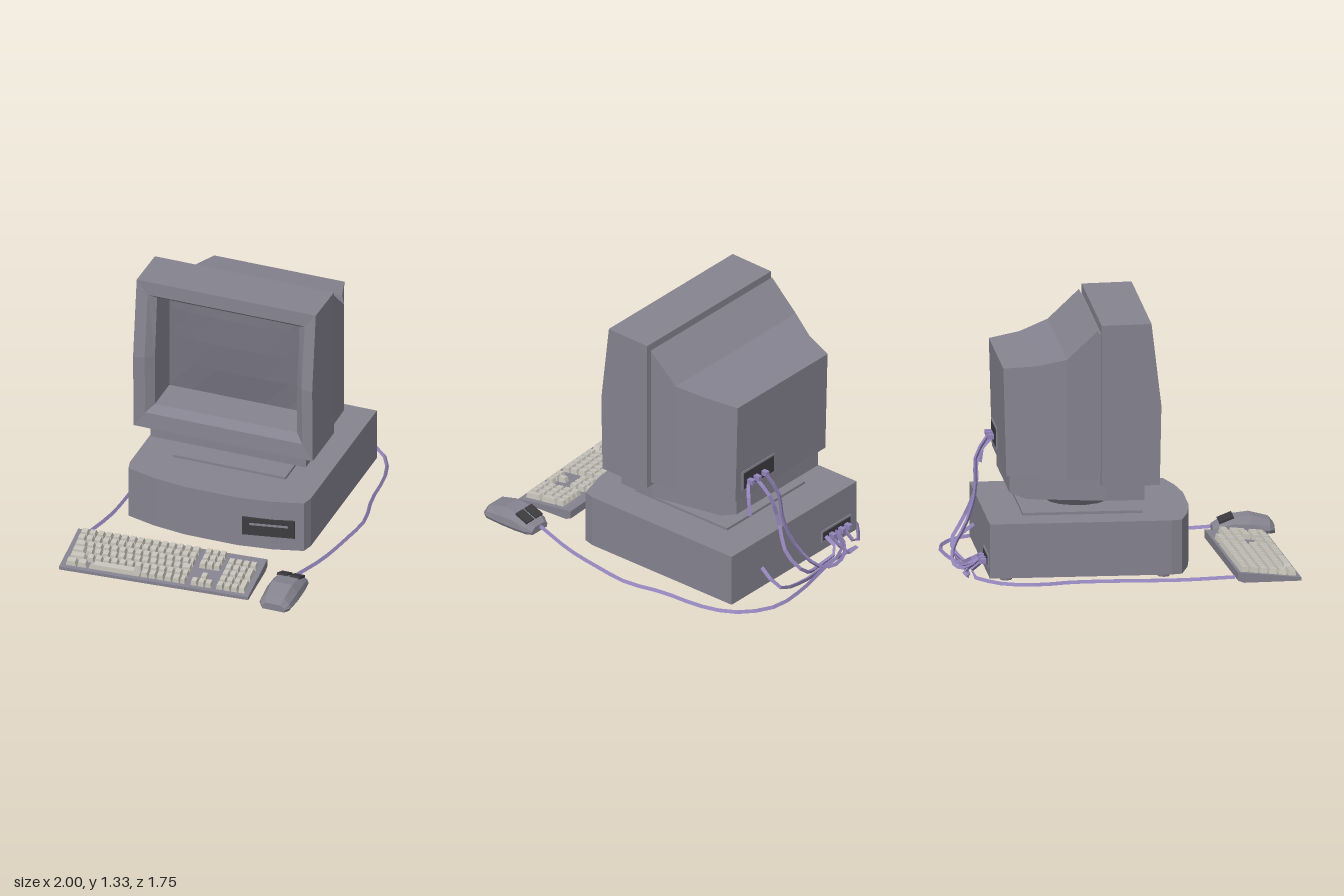
import * as THREE from 'three';

const mat = (color) => new THREE.MeshStandardMaterial({ color, flatShading: true, side: THREE.DoubleSide });
const shell = mat(0x85838f), dark = mat(0x3c3c40), glass = mat(0x75737f), keyMat = mat(0xc4c2b8), cord = mat(0x9385bb);

function add(parent, name, geometry, material, x = 0, y = 0, z = 0) {
  const m = new THREE.Mesh(geometry, material);
  m.name = name;
  m.position.set(x, y, z);
  parent.add(m);
  return m;
}
const box = (w, h, d) => new THREE.BoxGeometry(w, h, d);

// Skin through rings ordered towards +z, each counter-clockwise seen from +z
function loft(rings, capStart = true, capEnd = true) {
  const pos = [], n = rings[0].length;
  const tri = (a, b, c) => pos.push(...a, ...b, ...c);
  for (let i = 0; i < rings.length - 1; i++)
    for (let j = 0; j < n; j++) {
      const k = (j + 1) % n, p = rings[i], q = rings[i + 1];
      tri(p[j], p[k], q[k]);
      tri(p[j], q[k], q[j]);
    }
  const last = rings[rings.length - 1];
  for (let j = 1; j < n - 1; j++) {
    if (capStart) tri(rings[0][0], rings[0][j + 1], rings[0][j]);
    if (capEnd) tri(last[0], last[j], last[j + 1]);
  }
  const g = new THREE.BufferGeometry();
  g.setAttribute('position', new THREE.Float32BufferAttribute(pos, 3));
  g.computeVertexNormals();
  return g;
}
const rect = (w, y0, y1, z) => [[-w, y0, z], [w, y0, z], [w, y1, z], [-w, y1, z]];

// Rear socket panel: frame, dark inset and a row of plugs
function sockets(parent, name, x, y, z, w, h, plugs) {
  const g = new THREE.Group();
  g.name = name;
  g.position.set(x, y, z);
  parent.add(g);
  add(g, 'socketFrame', box(w, h, 0.008), shell);
  add(g, 'socketInset', box(w - 0.02, h - 0.02, 0.012), dark);
  for (const px of plugs) add(g, 'plug', box(0.025, 0.025, 0.04), cord, px, -0.01, -0.02);
}

function buildCase(g) {
  // Case with a bowed front
  const half = [[0.49, -0.49], [0.49, 0.43], [0.475, 0.487], [0.32, 0.53], [0.14, 0.555]];
  const outline = [...half, ...half.map(([x, z]) => [-x, z]).reverse()];
  const shape = new THREE.Shape(outline.map(([x, z]) => new THREE.Vector2(x, -z)));
  const body = new THREE.ExtrudeGeometry(shape, { depth: 0.28, bevelEnabled: false });
  add(g, 'case', body.rotateX(-Math.PI / 2), shell, 0, 0.025, 0);
  for (const x of [-0.4, 0.4]) for (const z of [-0.4, 0.4])
    add(g, 'caseFoot', new THREE.CylinderGeometry(0.035, 0.03, 0.025, 8), shell, x, 0.0125, z);
  // Disk drive on the front
  const drive = add(g, 'diskDrive', box(0.27, 0.1, 0.02), dark, 0.3, 0.15, 0.527);
  drive.rotation.y = 0.2;
  const slot = add(drive, 'diskSlot', box(0.2, 0.012, 0.01), shell, 0, 0.015, 0.008);
  slot.scale.z = 0.8;
  sockets(g, 'caseSockets', -0.325, 0.105, -0.492, 0.23, 0.065, [-0.07, -0.02, 0.05]);
  // Swivel stand
  add(g, 'swivelPlate', box(0.608, 0.015, 0.608), shell, 0, 0.311, 0);
  const profile = [[0.001, 0.3], [0.145, 0.31], [0.19, 0.35], [0.215, 0.385], [0.215, 0.41], [0.001, 0.41]];
  add(g, 'swivel', new THREE.LatheGeometry(profile.map(([r, y]) => new THREE.Vector2(r, y)), 14), shell);
}

function buildMonitor(g) {
  // Monitor foot
  add(g, 'monitorFoot', loft([
    rect(0.32, 0.43, 0.54, -0.375), rect(0.34, 0.4, 0.54, -0.29),
    rect(0.42, 0.4, 0.54, 0.1), rect(0.42, 0.4, 0.54, 0.3),
  ]), shell);
  // Tapering housing: z, half width, top
  const sections = [[-0.41, 0.352, 1.08], [-0.25, 0.403, 1.1], [-0.1, 0.472, 1.145], [0.06, 0.475, 1.295]];
  const rings = sections.map(([z, w, top]) => rect(w, 0.525, top, z));
  rings[0][0][2] = rings[0][1][2] = -0.395;
  rings.push(rect(0.455, 0.54, 1.275, 0.06), rect(0.455, 0.54, 1.275, 0.09));
  add(g, 'monitorHousing', loft(rings), shell);
  // Bezel with a bent front and a deep screen opening
  const ring = (w, ys, zs) => {
    const side = ys.map((y, i) => [w, y, zs[i]]);
    return [...side, ...side.map(([x, y, z]) => [-x, y, z]).reverse()];
  };
  add(g, 'bezel', loft([
    ring(0.485, [0.49, 0.9, 1.32], [0.075, 0.075, 0.075]),
    ring(0.485, [0.49, 0.9, 1.325], [0.37, 0.378, 0.328]),
    ring(0.425, [0.575, 0.9, 1.25], [0.365, 0.372, 0.33]),
    ring(0.385, [0.615, 0.9, 1.225], [0.33, 0.33, 0.3]),
    ring(0.385, [0.615, 0.9, 1.225], [0.12, 0.125, 0.13]),
  ], true, false), shell);
  // Slightly domed screen
  const screen = new THREE.PlaneGeometry(0.77, 0.612, 6, 4);
  const p = screen.attributes.position;
  for (let i = 0; i < p.count; i++) {
    const u = p.getX(i) / 0.385, v = p.getY(i) / 0.306;
    p.setZ(i, 0.025 * (1 - u * u) * (1 - v * v));
  }
  screen.computeVertexNormals();
  add(g, 'screen', screen, glass, 0, 0.92, 0.13);
  sockets(g, 'monitorSockets', 0.18, 0.625, -0.4, 0.255, 0.11, [-0.03, 0.03, 0.08]);
}

function buildKeyboard(g) {
  // Wedge-shaped tray
  add(g, 'keyboardTray', loft([
    rect(0.5, 0.02, 0.062, -0.162), rect(0.5, 0.008, 0.058, -0.13), rect(0.5, 0.008, 0.025, 0.162),
  ]), shell);
  for (const x of [-0.38, 0.38]) add(g, 'keyboardFoot', box(0.05, 0.02, 0.02), keyMat, x, 0.01, -0.12);
  // Keys with narrowed tops
  const keyGeo = box(1, 1, 1), p = keyGeo.attributes.position;
  for (let i = 0; i < p.count; i++) if (p.getY(i) > 0) p.setXYZ(i, p.getX(i) * 0.76, 0.5, p.getZ(i) * 0.76);
  const bed = new THREE.Group();
  bed.name = 'keys';
  bed.position.y = 0.05;
  bed.rotation.x = 0.12;
  g.add(bed);
  const key = (x0, x1, row, depth = 1) => {
    const m = add(bed, 'key', keyGeo, keyMat, (x0 + x1) / 2, 0.005, -0.125 + 0.049 * (row + (depth - 1) / 2));
    m.scale.set(x1 - x0 - 0.005, 0.03, 0.049 * depth - 0.006);
  };
  const firstWidth = [0.045, 0.045, 0.065, 0.075, 0.095, 0.06];
  for (let row = 0; row < 6; row++) {
    let x = -0.475;
    key(x, x += firstWidth[row], row);
    if (row === 5) { key(x, x += 0.055, row); key(x, x += 0.28, row); }
    while (x < 0.1) key(x, x += 0.042, row);
    key(x, 0.16, row);
    // Navigation block, arrows and number pad
    for (let c = 0; c < 3; c++) {
      if (row < 3 || row === 5 || (row === 4 && c === 1)) key(0.185 + c * 0.038, 0.223 + c * 0.038, row);
      if (row > 0) key(0.32 + c * 0.039, 0.359 + c * 0.039, row);
    }
  }
  key(0.437, 0.476, 1);
  key(0.437, 0.476, 2, 2);
  key(0.437, 0.476, 4, 2);
}

function buildMouse(g) {
  // Sections: z, half width, shoulder height, crown height
  const sections = [[-0.155, 0.065, 0.03, 0.045], [-0.13, 0.084, 0.045, 0.075], [-0.03, 0.09, 0.06, 0.1],
    [0.06, 0.088, 0.06, 0.09], [0.13, 0.08, 0.045, 0.062], [0.16, 0.06, 0.03, 0.045]];
  add(g, 'mouseBody', loft(sections.map(([z, w, s, c]) => [
    [-w * 0.9, 0.008, z], [w * 0.9, 0.008, z], [w, 0.025, z], [w * 0.92, s, z], [w * 0.6, c, z],
    [-w * 0.6, c, z], [-w * 0.92, s, z], [-w, 0.025, z],
  ])), shell);
  for (const x of [-0.034, 0.034]) {
    const b = add(g, 'mouseButton', box(0.055, 0.012, 0.08), dark, x, 0.079, 0.09);
    b.rotation.x = 0.38;
  }
}

function cable(parent, name, points) {
  const curve = new THREE.CatmullRomCurve3(points.map((q) => new THREE.Vector3(...q)));
  add(parent, name, new THREE.TubeGeometry(curve, points.length * 2, 0.011, 3), cord);
}

export function createModel() {
  const root = new THREE.Group();
  root.name = 'desktopComputer';
  const place = (name, build, x, z, angle) => {
    const g = new THREE.Group();
    g.name = name;
    g.position.set(x, 0, z);
    g.rotation.y = angle;
    build(g);
    root.add(g);
  };
  place('computer', buildCase, 0.245, -0.175, -Math.PI / 3);
  place('monitor', buildMonitor, 0.24, -0.18, -Math.PI / 3);
  place('keyboard', buildKeyboard, -0.585, 0.15, -0.98);
  place('mouse', buildMouse, -0.27, 0.735, 2.09);

  // Cables around the back of the case
  cable(root, 'keyboardCable', [[-0.7, 0.03, -0.33], [-0.45, 0.012, -0.43], [-0.17, 0.012, -0.58], [0.03, 0.012, -0.7],
    [0.16, 0.012, -0.82], [0.3, 0.012, -0.875], [0.43, 0.012, -0.85], [0.56, 0.03, -0.79], [0.5, 0.1, -0.74]]);
  cable(root, 'mouseCable', [[-0.13, 0.035, 0.65], [0.1, 0.012, 0.58], [0.32, 0.012, 0.5], [0.5, 0.012, 0.42], [0.66, 0.012, 0.28],
    [0.86, 0.012, 0.14], [0.97, 0.012, 0], [0.985, 0.012, -0.2], [0.86, 0.012, -0.4], [0.72, 0.02, -0.56], [0.62, 0.05, -0.7], [0.52, 0.1, -0.7]]);
  cable(root, 'monitorPowerCable', [[0.7, 0.615, -0.26], [0.74, 0.52, -0.31], [0.73, 0.35, -0.34], [0.75, 0.2, -0.4],
    [0.78, 0.08, -0.5], [0.72, 0.025, -0.62], [0.6, 0.04, -0.72], [0.53, 0.1, -0.7]]);
  cable(root, 'monitorSignalCable', [[0.68, 0.615, -0.2], [0.75, 0.52, -0.26], [0.74, 0.36, -0.31], [0.8, 0.2, -0.33],
    [0.83, 0.09, -0.42], [0.7, 0.03, -0.55], [0.64, 0.06, -0.66], [0.56, 0.1, -0.63]]);
  cable(root, 'looseCable', [[0.71, 0.615, -0.16], [0.77, 0.55, -0.14], [0.79, 0.45, -0.14]]);
  cable(root, 'coiledCable', [[0.8, 0.14, -0.2], [0.88, 0.06, -0.26], [0.8, 0.015, -0.42], [0.66, 0.012, -0.62],
    [0.56, 0.012, -0.8], [0.62, 0.02, -0.72], [0.55, 0.1, -0.66]]);
  return root;
}
